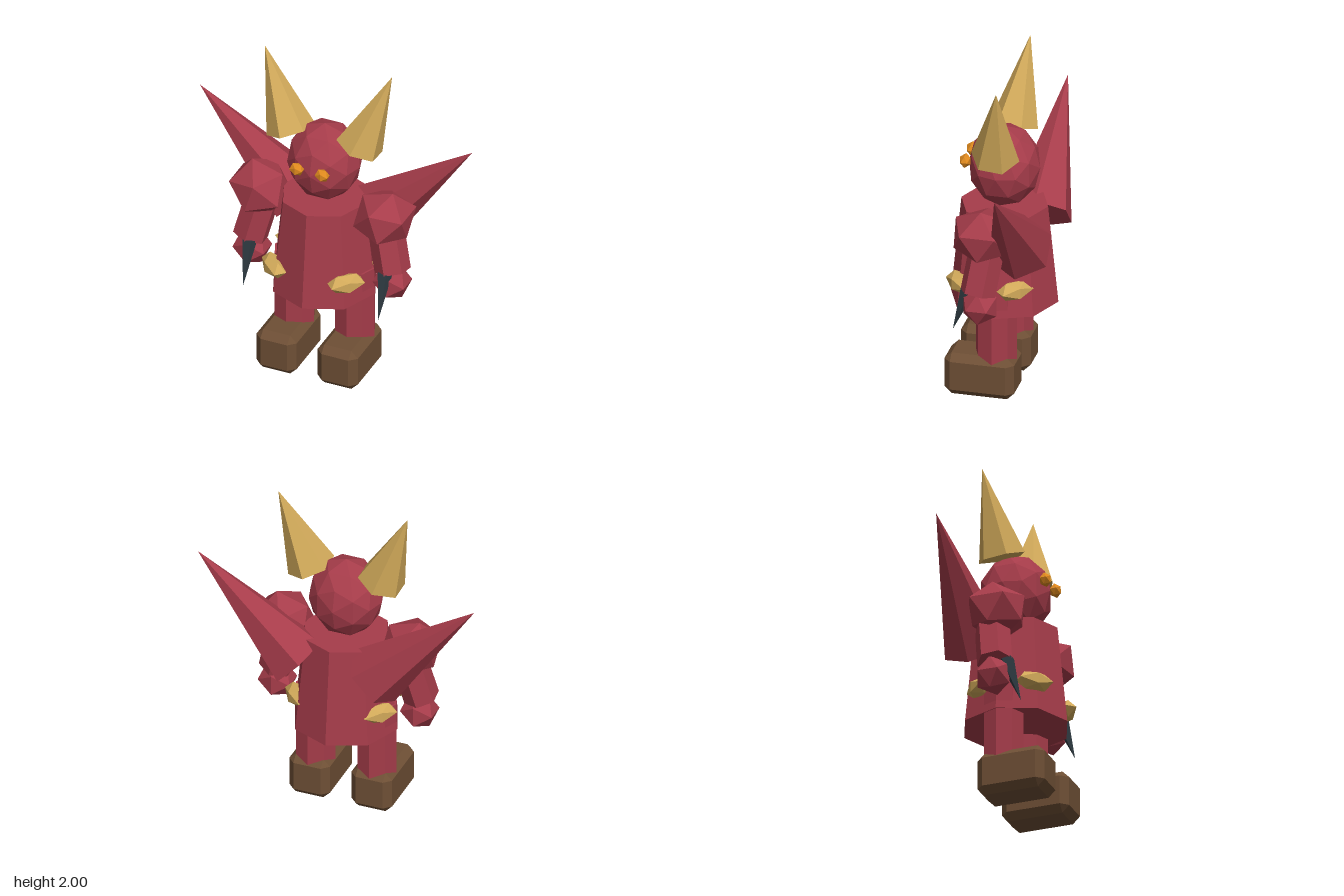
import * as THREE from 'three';
import { ConvexGeometry } from 'three/addons/geometries/ConvexGeometry.js';

const mat = (color) => new THREE.MeshStandardMaterial({ color, flatShading: true });
const UP = new THREE.Vector3(0, 1, 0);

export function createModel() {
  const model = new THREE.Group();
  const red = mat(0xa63c4a), gold = mat(0xd2aa5a), brown = mat(0x6e4f35);
  const slate = mat(0x2f3b42), orange = mat(0xe08a1e);

  function add(name, geometry, material, [x, y, z]) {
    const mesh = new THREE.Mesh(geometry, material);
    mesh.name = name;
    mesh.position.set(x, y, z);
    model.add(mesh);
    return mesh;
  }

  // Tapered prism running between two points (tip radius 0 makes a spike)
  function limb(name, material, from, to, rFrom, rTo, sides, turn = 0) {
    const a = new THREE.Vector3(...from), b = new THREE.Vector3(...to);
    const axis = b.clone().sub(a);
    const geometry = new THREE.CylinderGeometry(rTo, rFrom, axis.length(), sides, 1, false, turn);
    const mid = a.clone().add(b).multiplyScalar(0.5);
    const mesh = add(name, geometry, material, mid.toArray());
    mesh.quaternion.setFromUnitVectors(UP, axis.normalize());
    return mesh;
  }

  function gem(name, material, position, size, detail = 0) {
    const mesh = add(name, new THREE.IcosahedronGeometry(1, detail), material, position);
    mesh.scale.set(...size);
    return mesh;
  }

  // Box with chamfered edges and corners
  function chamferBox(w, h, d, c) {
    const points = [];
    for (const x of [-1, 1]) for (const y of [-1, 1]) for (const z of [-1, 1]) {
      for (let k = 0; k < 3; k++) {
        points.push(new THREE.Vector3(
          x * (w / 2 - (k === 0 ? 0 : c)),
          y * (h / 2 - (k === 1 ? 0 : c)),
          z * (d / 2 - (k === 2 ? 0 : c))));
      }
    }
    return new ConvexGeometry(points);
  }

  // Body and head
  limb('torso', red, [0, 0.52, 0], [0, 1.12, 0], 0.317, 0.256, 8);
  gem('head', red, [0, 1.36, 0], [0.22, 0.245, 0.21], 1);

  for (const s of [1, -1]) {
    const side = s > 0 ? 'left' : 'right';

    // Face and horns
    gem(side + 'Eye', orange, [s * 0.08, 1.395, 0.213], [0.046, 0.042, 0.036]);
    limb(side + 'Horn', gold, [s * 0.217, 1.51, 0], [s * 0.4, 2, -0.05], 0.142, 0, 6);

    // Back spikes
    limb(side + 'BackSpike', red, [s * 0.23, 0.955, -0.152], [s * 0.855, 1.54, -0.155], 0.193, 0, 6, Math.PI / 6);

    // Arms
    const shoulder = gem(side + 'Shoulder', red, [s * 0.39, 1.088, 0.03], [0.188, 0.172, 0.195]);
    shoulder.rotation.z = s * 0.3;
    limb(side + 'Arm', red, [s * 0.375, 1.05, 0.0], [s * 0.447, 0.745, 0.045], 0.105, 0.105, 6);
    gem(side + 'Hand', red, [s * 0.44, 0.665, 0.035], [0.115, 0.115, 0.115]);
    limb(side + 'Claw', slate, [s * 0.425, 0.755, 0.11], [s * 0.425, 0.487, 0.198], 0.046, 0, 5);

    // Hip studs
    gem(side + 'FrontHipStud', gold, [s * 0.227, 0.69, 0.205], [0.12, 0.062, 0.068]).rotation.y = s * Math.PI / 4;
    gem(side + 'RearHipStud', gold, [s * 0.25, 0.69, -0.125], [0.12, 0.062, 0.068]).rotation.y = -s * Math.PI / 4;

    // Legs and boots
    limb(side + 'Leg', red, [s * 0.19, 0.2, 0], [s * 0.19, 0.69, 0], 0.122, 0.122, 8);
    add(side + 'Boot', chamferBox(0.252, 0.26, 0.412, 0.042), brown, [s * 0.192, 0.13, 0.08]);
  }

  return model;
}
